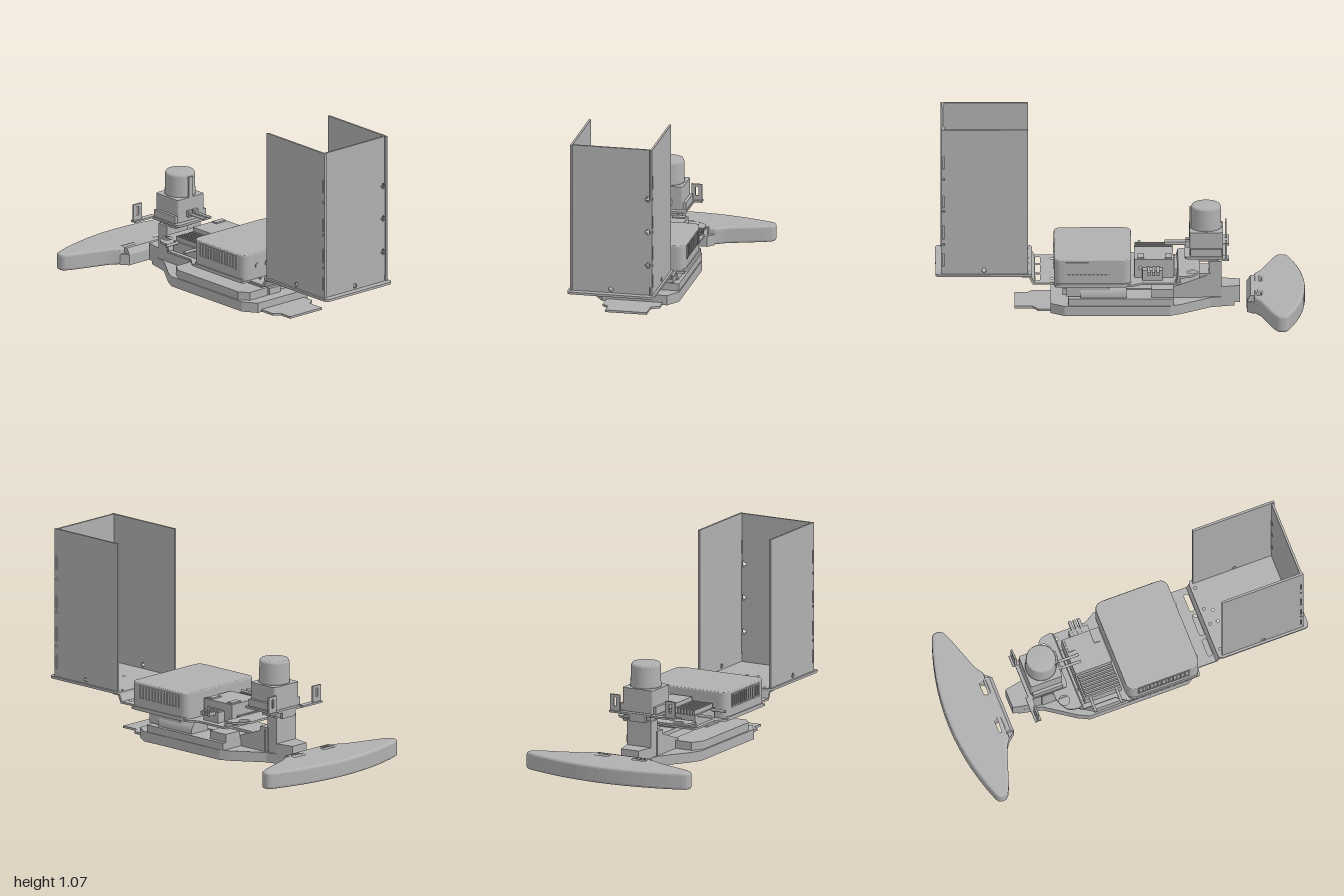
import * as THREE from 'three';

const grey = new THREE.MeshStandardMaterial({ color: 0xb0b0b0 });
grey.name = 'plain grey';

// Closed path from [a, b] points; a third value rounds that corner
function outline(points, flip, Type = THREE.Shape) {
  const s = new Type(), n = points.length;
  const v = points.map(p => new THREE.Vector2(p[0], flip ? -p[1] : p[1]));
  points.forEach((p, i) => {
    const r = p[2] || 0;
    const toward = q => v[i].clone().add(q.clone().sub(v[i]).setLength(r));
    const a = r ? toward(v[(i + n - 1) % n]) : v[i];
    i ? s.lineTo(a.x, a.y) : s.moveTo(a.x, a.y);
    if (r) {
      const b = toward(v[(i + 1) % n]);
      s.quadraticCurveTo(v[i].x, v[i].y, b.x, b.y);
    }
  });
  s.closePath();
  return s;
}
const rect = (a0, a1, b0, b1, r = 0) => [[a0, b0, r], [a1, b0, r], [a1, b1, r], [a0, b1, r]];
const dot = (a, b, r) => Array.from({ length: 12 }, (_, i) =>
  [a + r * Math.cos(i * Math.PI / 6), b + r * Math.sin(i * Math.PI / 6)]);
const plus = (a, b, l, w) => [[-l, -w], [-w, -w], [-w, -l], [w, -l], [w, -w], [l, -w],
  [l, w], [w, w], [w, l], [-w, l], [-w, w], [-l, w]].map(p => [a + p[0], b + p[1]]);

export function createModel() {
  const model = new THREE.Group();
  model.name = 'robotCar';
  const add = (name, geometry) => {
    const mesh = new THREE.Mesh(geometry, grey);
    mesh.name = name;
    model.add(mesh);
    return mesh;
  };
  const box = (name, x0, x1, y0, y1, z0, z1) => {
    const g = new THREE.BoxGeometry(x1 - x0, y1 - y0, z1 - z0);
    return add(name, g.translate((x0 + x1) / 2, (y0 + y1) / 2, (z0 + z1) / 2));
  };
  const extrude = (points, flip, depth, holes, bevel = 0) => {
    const s = outline(points, flip);
    s.holes = holes.map(h => outline(h, flip, THREE.Path));
    return new THREE.ExtrudeGeometry(s, { depth: depth - 2 * bevel, curveSegments: 6, bevelEnabled: bevel > 0,
      bevelSize: bevel, bevelOffset: -bevel, bevelThickness: bevel, bevelSegments: 3 }).translate(0, 0, bevel);
  };
  // Horizontal slab from [x, z] points, and upright slab from [x, y] points
  const slab = (name, y0, y1, points, holes = [], bevel = 0) =>
    add(name, extrude(points, true, y1 - y0, holes, bevel).rotateX(-Math.PI / 2).translate(0, y0, 0));
  const upright = (name, z0, z1, points, holes = []) =>
    add(name, extrude(points, false, z1 - z0, holes).translate(0, 0, z0));
  const cylinder = (name, r, h, x, y, z, axis = 'y', sides = 32) => {
    const g = new THREE.CylinderGeometry(r, r, h, sides);
    if (axis === 'x') g.rotateZ(Math.PI / 2);
    if (axis === 'z') g.rotateX(Math.PI / 2);
    return add(name, g.translate(x, y, z));
  };

  // Foam bumper: bowed nose, rounded tips, two mounting slots
  const nose = [];
  for (let i = 0; i <= 14; i++) {
    const t = i / 7 - 1;
    nose.push([-1 + 0.085 * t * t, 0.475 * t]);
  }
  slab('bumper', 0, 0.095, [...nose, [-0.9, 0.505, 0.02], [-0.85, 0.505, 0.025], [-0.825, 0.455, 0.02],
    [-0.755, 0.245, 0.02], [-0.725, 0.2], [-0.725, -0.2], [-0.755, -0.245, 0.02], [-0.825, -0.455, 0.02],
    [-0.85, -0.505, 0.025], [-0.9, -0.505, 0.02]],
  [rect(-0.765, -0.732, -0.155, -0.075, 0.015), rect(-0.765, -0.732, 0.075, 0.155, 0.015)], 0.014);
  slab('bumperBack', 0, 0.06, [[-0.726, -0.2], [-0.685, -0.165], [-0.685, 0.165], [-0.726, 0.2]]);
  upright('bumperSlope', -0.165, 0.165, [[-0.727, 0.06], [-0.685, 0.06], [-0.705, 0.093], [-0.727, 0.093]]);

  // Chassis tub with tapered front and thin rear tab
  slab('chassis', 0, 0.055, [[-0.62, -0.06], [-0.49, -0.09], [-0.33, -0.2], [-0.27, -0.23], [0.3, -0.23], [0.375, -0.18],
    [0.375, 0.18], [0.3, 0.23], [-0.27, 0.23], [-0.33, 0.2], [-0.49, 0.09], [-0.62, 0.06]]);
  slab('rearTab', 0.002, 0.014, [[0.37, -0.155], [0.44, -0.155], [0.47, -0.11], [0.57, -0.11], [0.57, 0.12],
    [0.5, 0.12], [0.47, 0.155], [0.37, 0.155]]);
  slab('batteryCover', 0.055, 0.1, [[-0.29, 0.05], [0.31, 0.05], [0.31, 0.18], [0.26, 0.22], [-0.23, 0.22], [-0.29, 0.18]]);
  box('centreSpine', -0.3, 0.31, 0.055, 0.09, -0.04, 0.04);
  box('driveTray', -0.29, 0.28, 0.055, 0.095, -0.225, -0.07);
  cylinder('driveMotor', 0.066, 0.25, 0.09, 0.1, -0.14, 'x');
  box('servo', -0.29, -0.17, 0.055, 0.14, -0.2, -0.09);

  // Front tower, bracket and sloped gusset
  box('frontTower', -0.55, -0.48, 0.01, 0.255, -0.075, 0.075);
  box('towerFoot', -0.49, -0.43, 0.05, 0.19, -0.08, 0.08);
  slab('frontBracket', 0.018, 0.112, [[-0.65, -0.055], [-0.55, -0.075], [-0.55, 0.075], [-0.65, 0.055]]);
  upright('gusset', -0.085, 0.08, [[-0.47, 0.055], [-0.24, 0.055], [-0.26, 0.105], [-0.47, 0.18]]);

  // Supports under the deck
  box('rearSupport', 0.055, 0.29, 0.09, 0.152, -0.085, 0.08);
  box('rearSupportCap', 0.06, 0.3, 0.152, 0.182, -0.085, 0.08);
  box('sideSupport', 0.06, 0.29, 0.1, 0.182, -0.195, -0.12);
  cylinder('deckScrew', 0.014, 0.02, -0.175, 0.175, 0.1);

  // Deck plate with cut-outs and its raised, stepped front
  slab('deck', 0.18, 0.191, [[-0.33, -0.235, 0.03], [-0.12, -0.235], [-0.06, -0.272], [0.35, -0.272], [0.36, -0.23],
    [0.465, -0.23], [0.465, 0.225], [0.36, 0.225], [0.35, 0.27], [-0.06, 0.27], [-0.12, 0.225], [-0.33, 0.225, 0.03]],
  [rect(0.432, 0.458, -0.19, -0.09, 0.01), rect(0.432, 0.458, -0.065, 0.06, 0.01), rect(0.432, 0.458, 0.085, 0.185, 0.01),
    dot(0.37, -0.16, 0.009), dot(0.37, 0.16, 0.009), dot(-0.3, -0.2, 0.01), dot(-0.3, 0.19, 0.01)]);
  slab('frontDeck', 0.216, 0.227, [[-0.43, -0.15, 0.02], [-0.39, -0.225, 0.03], [-0.325, -0.235], [-0.325, 0.225],
    [-0.39, 0.215, 0.03], [-0.43, 0.14, 0.02]],
  [dot(-0.39, -0.16, 0.03), dot(-0.39, 0.155, 0.03)]);
  upright('frontDeckStep', -0.23, 0.22, [[-0.335, 0.227], [-0.325, 0.216], [-0.315, 0.181], [-0.3, 0.181], [-0.313, 0.227]]);
  upright('rearDeckStep', -0.23, 0.225, [[0.46, 0.18], [0.472, 0.18], [0.492, 0.221], [0.53, 0.221], [0.53, 0.231],
    [0.482, 0.231], [0.462, 0.191]]);

  // Main computer: shell with vent slots in both long sides
  const shell = (x0, x1, z0, z1, r) => rect(x0, x1, z0, z1, r);
  slab('computerBase', 0.18, 0.2, shell(-0.055, 0.35, -0.276, 0.272, 0.04));
  slab('computerShell', 0.187, 0.335, shell(-0.06, 0.357, -0.27, 0.265, 0.05), [], 0.006);
  const slots = Array.from({ length: 13 }, (_, i) => rect(0.003 + i * 0.0222, 0.017 + i * 0.0222, 0.252, 0.314));
  upright('leftVent', 0.264, 0.269, rect(-0.005, 0.294, 0.245, 0.321), slots);
  upright('rightVent', -0.274, -0.269, rect(-0.005, 0.294, 0.245, 0.321), slots);
  for (const z of [-0.17, -0.1, 0.1, 0.17]) cylinder('rearPort', 0.014, 0.008, 0.358, 0.265, z, 'x', 16);
  box('portPanel', 0.354, 0.361, 0.22, 0.24, -0.06, 0.06);

  // Control box, finned heat sink and connectors
  upright('controlBox', -0.15, 0.06, rect(-0.288, -0.077, 0.189, 0.295), [dot(-0.11, 0.248, 0.009)]);
  box('heatSinkBase', -0.288, -0.077, 0.189, 0.25, 0.06, 0.2);
  for (let i = 0; i < 7; i++) box('heatSinkFin', -0.28, -0.08, 0.25, 0.275, 0.066 + i * 0.019, 0.076 + i * 0.019);
  for (const x of [-0.278, -0.13]) box('boxLug', x, x + 0.035, 0.295, 0.302, -0.14, -0.07);
  box('boxSocket', -0.23, -0.12, 0.19, 0.25, -0.2, -0.15);
  for (const x of [-0.205, -0.18, -0.155]) box('boxPlug', x - 0.008, x + 0.008, 0.235, 0.255, -0.25, -0.15);
  for (const x of [-0.255, -0.105]) cylinder('antennaPlug', 0.008, 0.1, x, 0.245, 0.235, 'z', 12);
  box('deckLug', -0.31, -0.295, 0.191, 0.23, -0.12, 0.12);

  // Scanner: mount plate, square body, round head, rods
  box('scannerPost', -0.53, -0.425, 0.25, 0.288, -0.06, 0.06);
  slab('scannerPlate', 0.285, 0.297, rect(-0.575, -0.35, -0.12, 0.11, 0.02));
  slab('scannerBody', 0.3, 0.43, rect(-0.557, -0.375, -0.1, 0.09, 0.012));
  box('scannerSpacer', -0.54, -0.39, 0.296, 0.302, -0.08, 0.07);
  for (const z of [-0.108, 0.098]) box('scannerFlange', -0.55, -0.38, 0.3, 0.34, z - 0.009, z + 0.009);
  const head = [[0, 0], [0.085, 0], [0.085, 0.012], [0.083, 0.012], [0.081, 0.115], [0.08, 0.12], [0.075, 0.13], [0, 0.13]];
  add('scannerHead', new THREE.LatheGeometry(head.map(p => new THREE.Vector2(...p)), 40).translate(-0.465, 0.43, -0.005));
  box('headRib', -0.395, -0.375, 0.43, 0.545, -0.02, 0.01);
  for (const z of [-0.025, 0.015]) {
    cylinder('scannerRod', 0.008, 0.14, -0.31, 0.342, z, 'x', 12);
    box('rodCollar', -0.376, -0.355, 0.325, 0.36, z - 0.014, z + 0.014);
  }

  // Slotted sensor brackets on either side of the scanner
  for (const [z0, z1, zp] of [[-0.165, -0.1, -0.16], [0.09, 0.24, 0.235]]) {
    box('bracketArm', -0.59, -0.555, 0.29, 0.3, z0, z1);
    const end = Math.sign(zp);
    const plate = extrude(rect(-0.03, 0.03, 0, 0.1), false, 0.01, [rect(-0.008, 0.008, 0.035, 0.085, 0.006)]);
    add('bracketPlate', plate.rotateY(Math.PI / 2).translate(-0.578, 0.29, zp - end * 0.026));
  }
  box('sensorBoard', -0.57, -0.555, 0.25, 0.285, -0.05, 0.05);

  // Cargo bay: tray and three upright panels with joint slots
  slab('cargoTray', 0.229, 0.242, rect(0.475, 0.998, -0.243, 0.238, 0.03),
    [[0.5, -0.19], [0.5, 0.185], [0.5, -0.06], [0.5, 0.03], [0.545, -0.04], [0.545, 0.03], [0.7, -0.04], [0.7, 0.03]]
      .map(p => dot(p[0], p[1], 0.008)));
  const joints = [[0.285, 0.36], [0.44, 0.52], [0.62, 0.69], [0.84, 0.915]].map(p => rect(0.951, 0.957, ...p));
  for (const y of [0.41, 0.6, 0.785]) joints.push(dot(0.954, y, 0.007));
  joints.push(plus(0.735, 0.262, 0.013, 0.006));
  for (const [name, z] of [['leftPanel', 0.213], ['rightPanel', -0.23]])
    upright(name, z, z + 0.012, rect(0.497, 0.968, 0.24, 1.066), joints);
  const crosses = [plus(0, 0.262, 0.013, 0.006)];
  for (const y of [0.41, 0.6, 0.785]) for (const z of [-0.205, 0.205]) crosses.push(plus(z, y, 0.016, 0.006));
  add('rearPanel', extrude(rect(-0.218, 0.213, 0.24, 1.066), false, 0.012, crosses)
    .rotateY(Math.PI / 2).translate(0.95, 0, 0));
  return model;
}
